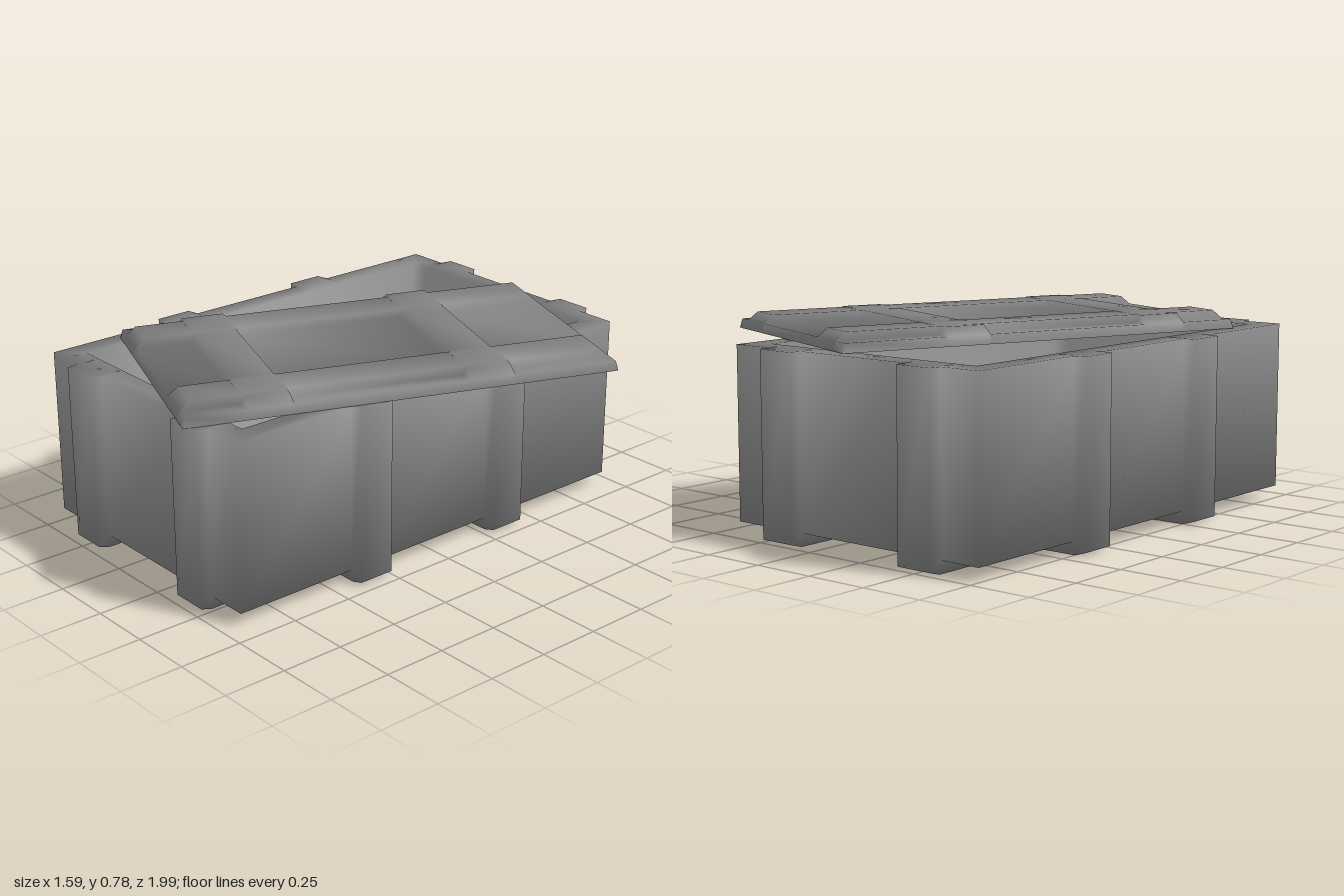
import * as THREE from 'three';
import { mergeGeometries, toCreasedNormals } from 'three/addons/utils/BufferGeometryUtils.js';

const material = new THREE.MeshStandardMaterial({ color: 0x808080 });

// Skin over rows of points, leaving out triangles that collapse
function skin(rows) {
  const positions = [];
  const triangle = (a, b, c) => {
    if (Math.min(a.distanceTo(b), b.distanceTo(c), c.distanceTo(a)) < 1e-5) return;
    for (const p of [a, b, c]) positions.push(p.x, p.y, p.z);
  };
  for (let r = 0; r + 1 < rows.length; r++) {
    for (let c = 0; c + 1 < rows[r].length; c++) {
      triangle(rows[r][c], rows[r][c + 1], rows[r + 1][c + 1]);
      triangle(rows[r][c], rows[r + 1][c + 1], rows[r + 1][c]);
    }
  }
  const g = new THREE.BufferGeometry();
  g.setAttribute('position', new THREE.Float32BufferAttribute(positions, 3));
  return g;
}

// One softly shaded mesh from several skins that share their borders
function softMesh(name, ...skins) {
  const mesh = new THREE.Mesh(toCreasedNormals(mergeGeometries(skins), 1.9), material);
  mesh.name = name;
  return mesh;
}

// Grid lines along one axis: border lines, then the foot and crest of each strap
function gridLines(borders, straps, foot, crest) {
  const lines = [];
  borders.forEach((at, border) => lines.push({ at: -at, border }, { at, border }));
  for (const s of straps) {
    for (const side of [-1, 1]) {
      lines.push({ at: s + side * foot, border: 9 }, { at: s + side * crest, border: 9, crest: true });
    }
  }
  return lines.sort((a, b) => a.at - b.at);
}

function createCrate() {
  const wallX = 0.577, wallZ = 0.937, ribDepth = 0.048;
  const ribX = 0.33, ribZ = 0.34, foot = 0.083, crest = 0.074;
  const panelY = 0.05, ribY = 0.014;

  // Plan of the walls: two ribs on each of the four sides
  const outline = [];
  for (let k = 0; k < 4; k++) {
    const [along, out, rib] = k % 2 ? [wallZ, wallX, ribZ] : [wallX, wallZ, ribX];
    const side = [[-along, 0]];
    for (const m of [-rib, rib]) {
      side.push([m - foot, 0], [m - crest, ribDepth], [m + crest, ribDepth], [m + foot, 0]);
    }
    for (const [t, depth] of side) {
      const p = new THREE.Vector3(t, depth ? ribY : panelY, out + depth);
      outline.push(p.applyAxisAngle(new THREE.Vector3(0, 1, 0), k * Math.PI / 2));
    }
  }
  outline.push(outline[0].clone());

  // Up the outside, over the rim, down the inside and across the floor
  const loop = (y, hx, hz) => outline.map(p => new THREE.Vector3(
    THREE.MathUtils.clamp(p.x, -hx, hx), y, THREE.MathUtils.clamp(p.z, -hz, hz)));
  const walls = skin([
    outline, loop(0.71, 1, 1), loop(0.71, 0.49, 0.845),
    loop(0.1, 0.46, 0.81), loop(0.1, 0, 0),
  ]);

  // Underside with crossing straps that run on into the ribs
  const xs = gridLines([wallX + ribDepth, wallX], [-ribX, ribX], foot, crest);
  const zs = gridLines([wallZ + ribDepth, wallZ], [-ribZ, ribZ], foot, crest);
  const underside = skin(zs.map(z => xs.map(x => {
    const px = x.border === 0 && !z.crest ? Math.sign(x.at) * wallX : x.at;
    const pz = z.border === 0 && !x.crest ? Math.sign(z.at) * wallZ : z.at;
    const strapY = Math.min(x.border, z.border) === 0 ? ribY : 0;
    return new THREE.Vector3(px, x.crest || z.crest ? strapY : panelY, pz);
  })));

  const crate = softMesh('crate', walls, underside);
  crate.position.set(-0.17, 0, -0.015);
  return crate;
}

function createLid() {
  const hx = 0.483, hz = 0.838, plateY = 0.036, strapY = 0.068;
  const edge = 0.008, slope = 0.045;

  // Plate with raised straps whose ends slope down to its edge
  const xs = gridLines([hx, hx - edge, hx - slope], [-0.33, 0.33], 0.084, 0.076);
  const zs = gridLines([hz, hz - edge, hz - slope], [-0.333, 0.517], 0.09, 0.082);
  const top = skin(zs.reverse().map(z => xs.map(x => {
    const px = x.border === 2 && !z.crest ? Math.sign(x.at) * (hx - edge) : x.at;
    const pz = z.border === 2 && !x.crest ? Math.sign(z.at) * (hz - edge) : z.at;
    const border = Math.min(x.border, z.border);
    const raised = border > 1 && (x.crest || z.crest);
    return new THREE.Vector3(px, border === 0 ? 0 : raised ? strapY : plateY, pz);
  })));
  const underside = skin([-hz, hz].map(z => [-hx, hx].map(x => new THREE.Vector3(x, 0, z))));

  const lid = softMesh('lid', top, underside);
  lid.position.set(0.045, 0.712, 0.035);
  lid.rotation.y = -0.37;
  return lid;
}

export function createModel() {
  const model = new THREE.Group();
  model.name = 'openCrate';
  model.add(createCrate(), createLid());
  return model;
}
